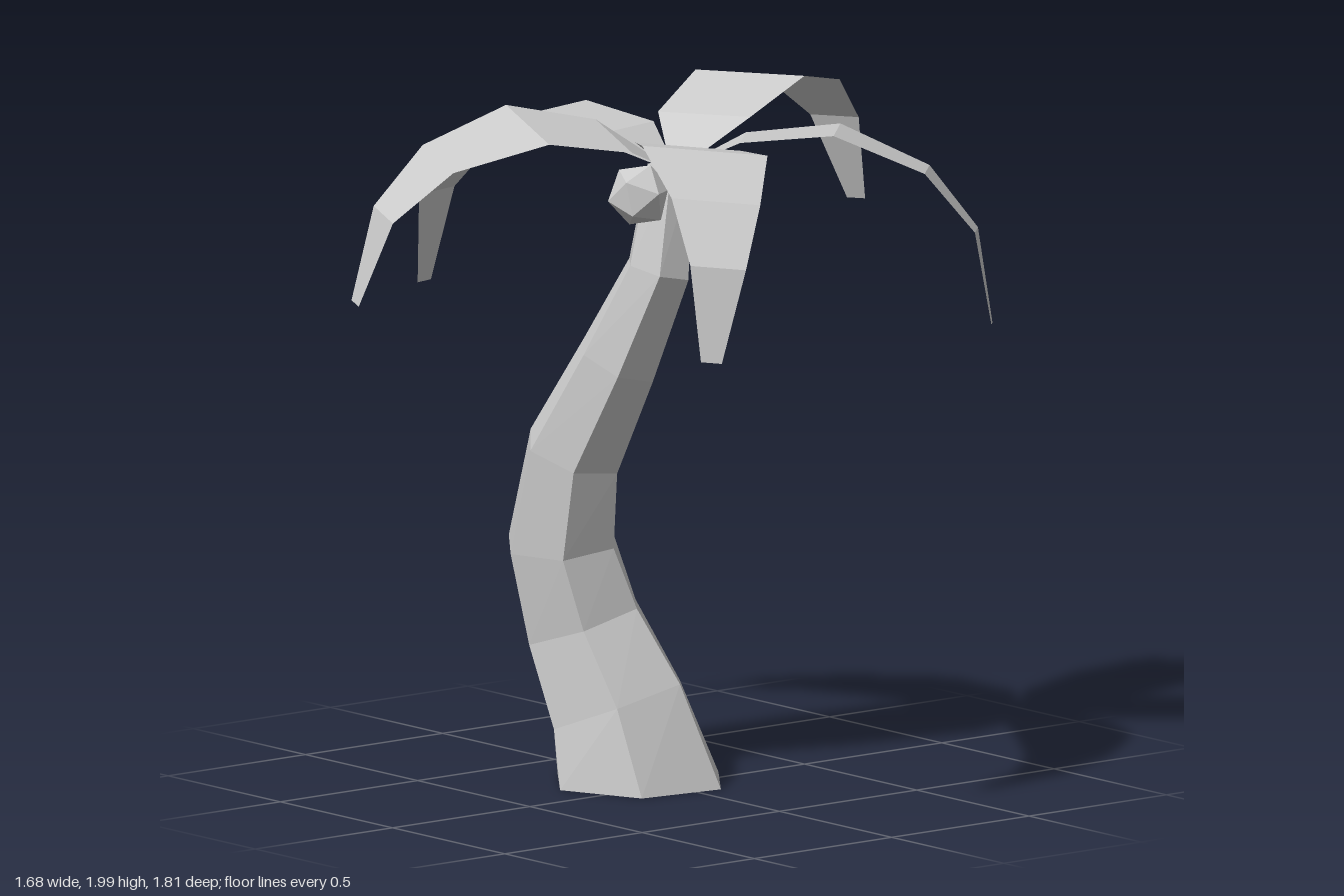
import * as THREE from 'three';

const material = new THREE.MeshStandardMaterial({
  color: 0xcccccc, flatShading: true, side: THREE.DoubleSide,
});

// Joins rings of points into a faceted surface; closed rings wrap around.
function loft(rings, closed) {
  const positions = [];
  const n = rings[0].length;
  for (let i = 0; i < rings.length - 1; i++) {
    for (let j = 0; j < (closed ? n : n - 1); j++) {
      const k = (j + 1) % n;
      const a = rings[i][j], b = rings[i][k], c = rings[i + 1][k], d = rings[i + 1][j];
      for (const p of [a, b, c, a, c, d]) positions.push(p.x, p.y, p.z);
    }
  }
  const geometry = new THREE.BufferGeometry();
  geometry.setAttribute('position', new THREE.Float32BufferAttribute(positions, 3));
  geometry.computeVertexNormals();
  return geometry;
}

// Curved, tapering six-sided trunk, open at the bottom.
function createTrunk() {
  const sections = [ // x, y, z, radius
    [-0.10, 0.00, 0.02, 0.262],
    [-0.157, 0.215, 0.055, 0.218],
    [-0.247, 0.445, 0.107, 0.185],
    [-0.27, 0.68, 0.165, 0.168],
    [-0.205, 0.95, 0.172, 0.147],
    [-0.057, 1.23, 0.13, 0.122],
    [0.055, 1.50, 0.075, 0.098],
    [0.05, 1.79, 0.03, 0.072],
  ];
  const up = new THREE.Vector3(0, 1, 0);
  const centers = sections.map(([x, y, z]) => new THREE.Vector3(x, y, z));
  const last = centers.length - 1;
  const rings = sections.map(([, , , r], i) => {
    // Inner rings lean with the trunk; both ends stay level.
    const tilt = new THREE.Quaternion();
    if (i > 0 && i < last) {
      const tangent = centers[i + 1].clone().sub(centers[i - 1]).normalize();
      tilt.setFromUnitVectors(up, tangent);
    }
    return Array.from({ length: 6 }, (_, j) => {
      const a = -0.134 + j * Math.PI / 3;
      return new THREE.Vector3(r * Math.sin(a), 0, r * Math.cos(a))
        .applyQuaternion(tilt).add(centers[i]);
    });
  });
  // Close the top to a point.
  rings.push(rings[last].map(() => centers[last].clone()));
  return new THREE.Mesh(loft(rings, true), material);
}

// One drooping frond, pointing along +z from its root.
function createFrondGeometry() {
  const sections = [ // distance, height, width
    [0.02, 0.00, 0.05],
    [0.195, 0.085, 0.305],
    [0.46, 0.11, 0.36],
    [0.715, 0.00, 0.255],
    [0.855, -0.17, 0.16],
    [0.90, -0.435, 0.06],
  ];
  return loft(sections.map(([d, h, w]) => [
    new THREE.Vector3(-w / 2, h, d), new THREE.Vector3(w / 2, h, d),
  ]), false);
}

export function createModel() {
  const model = new THREE.Group();
  model.name = 'palmTree';

  const trunk = createTrunk();
  trunk.name = 'trunk';
  model.add(trunk);

  // Crown of five fronds: heading x, heading z, upward pitch, roll
  const frondGeometry = createFrondGeometry();
  [
    [-0.30, 0.90, 0.10, 0.14],
    [0.815, 0.465, 0.05, 0.11],
    [0.61, -0.67, 0.0, 0.09],
    [-0.335, -0.92, 0.20, 0.05],
    [-0.88, 0.19, 0.0, 0.0],
  ].forEach(([x, z, pitch, roll], i) => {
    const frond = new THREE.Mesh(frondGeometry, material);
    frond.name = `frond${i + 1}`;
    frond.position.set(0.03, 1.78, 0);
    frond.rotation.set(-pitch, Math.atan2(x, z), -roll, 'YXZ');
    model.add(frond);
  });

  // Coconuts clustered under the crown
  const coconutGeometry = new THREE.IcosahedronGeometry(0.093, 0);
  [
    [0.05, 1.72, 0.14],
    [-0.07, 1.69, -0.07],
    [0.11, 1.705, -0.068],
  ].forEach(([x, y, z], i) => {
    const coconut = new THREE.Mesh(coconutGeometry, material);
    coconut.name = `coconut${i + 1}`;
    coconut.position.set(x, y, z);
    coconut.rotation.set(0.3 * i, 0.5 + i, 0.2);
    model.add(coconut);
  });

  return model;
}
